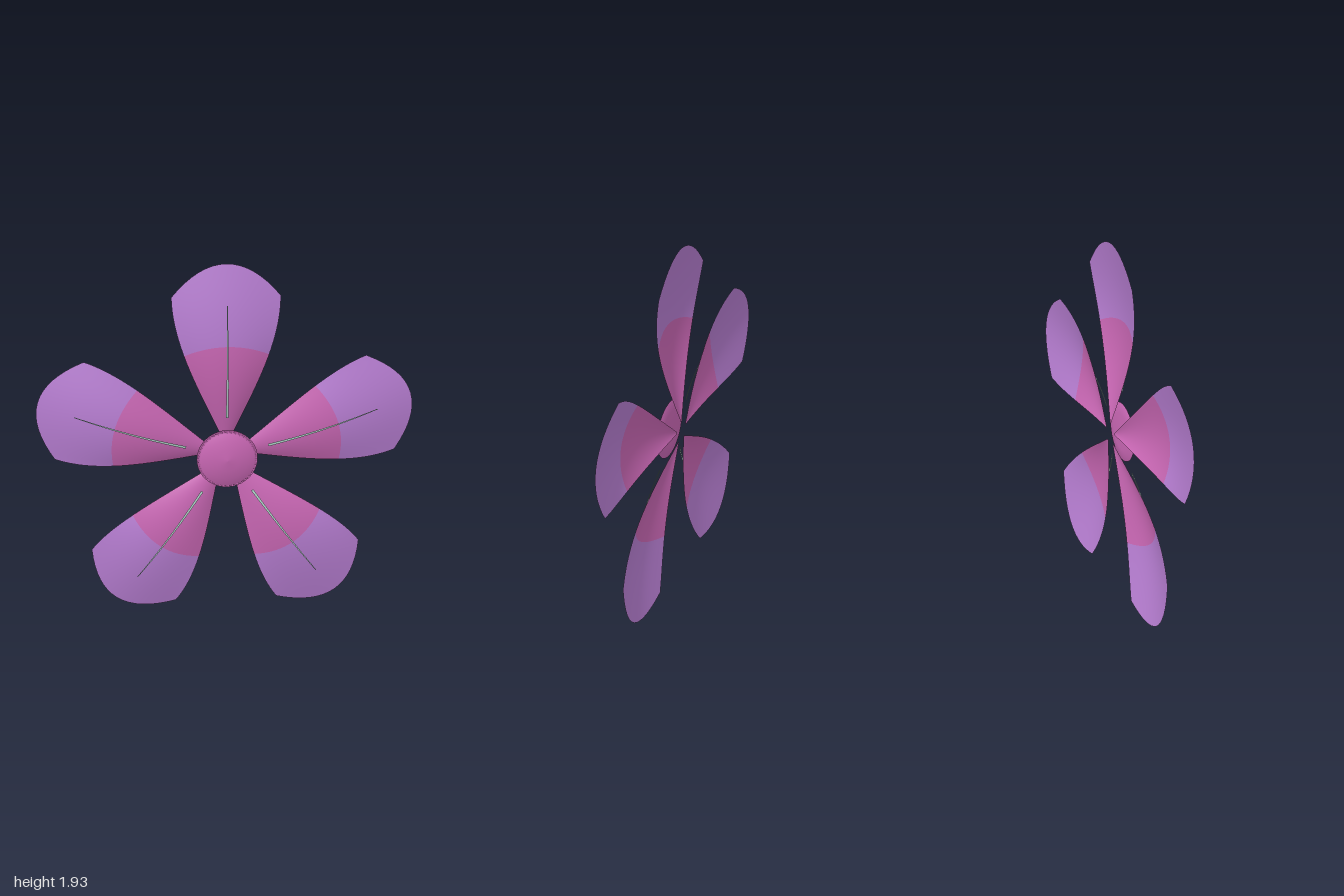
import * as THREE from 'three';

const CENTER_Y = 0.895;
const PETALS = 5;

const mat = (name, color) => {
  const m = new THREE.MeshStandardMaterial({ color, side: THREE.DoubleSide });
  m.name = name;
  return m;
};

// Grid surface: fn(t, v) gives a point, t runs along 0..1, v across -1..1
function sheet(rows, cols, fn) {
  const pos = [], index = [];
  for (let i = 0; i <= rows; i++)
    for (let j = 0; j <= cols; j++) pos.push(...fn(i / rows, (j / cols) * 2 - 1));
  for (let i = 0; i < rows; i++)
    for (let j = 0; j < cols; j++) {
      const a = i * (cols + 1) + j, b = a + 1, c = a + cols + 1, d = c + 1;
      index.push(a, b, d, a, d, c);
    }
  const g = new THREE.BufferGeometry();
  g.setAttribute('position', new THREE.Float32BufferAttribute(pos, 3));
  g.setIndex(index);
  g.computeVertexNormals();
  return g;
}

// Petal: widening, bowed forward along its length and arched across, round tip
const petalPoint = (t, v) => [
  v * (0.006 + 0.276 * Math.sin((Math.PI * t) / 2)),
  0.06 + 0.98 * t - 0.17 * t * t * v * v,
  -0.05 + 0.07 * Math.sin(Math.PI * t) * (1 - 0.55 * v * v),
];

// Vein: thin tapering ribbon floating just above the petal
const veinPoint = (s, v) => {
  const r = 0.23 + 0.61 * s;
  const t = (r - 0.06) / 0.98;
  return [v * (0.007 - 0.005 * s), r, -0.02 + 0.07 * Math.sin(Math.PI * t)];
};

export function createModel() {
  const pink = mat('pink', 0xcb68b6);
  const purple = mat('purple', 0xb97fd4);
  const pale = mat('paleGreen', 0xb0d0c8);

  const flower = new THREE.Group();
  flower.name = 'flower';

  // Petals are pink near the heart and purple outside
  const rows = 28, cols = 16, pinkRows = 16;
  const petalGeo = sheet(rows, cols, petalPoint);
  const perRow = cols * 6;
  petalGeo.addGroup(0, pinkRows * perRow, 0);
  petalGeo.addGroup(pinkRows * perRow, (rows - pinkRows) * perRow, 1);
  const veinGeo = sheet(16, 1, veinPoint);

  for (let i = 0; i < PETALS; i++) {
    const group = new THREE.Group();
    group.name = `petal${i + 1}`;
    const blade = new THREE.Mesh(petalGeo, [pink, purple]);
    blade.name = 'petalBlade';
    const vein = new THREE.Mesh(veinGeo, pale);
    vein.name = 'petalVein';
    group.add(blade, vein);
    group.rotation.z = (i * Math.PI * 2) / PETALS;
    flower.add(group);
  }

  // Shallow domed heart
  const profile = [[0, 0.008], [0.1, 0.01], [0.163, 0.017], [0.145, 0.026], [0.11, 0.037], [0.06, 0.048], [0, 0.053]]
    .map(([x, y]) => new THREE.Vector2(x, y));
  const heart = new THREE.Mesh(new THREE.LatheGeometry(profile, 40), pink);
  heart.name = 'heart';
  heart.rotation.x = Math.PI / 2;
  flower.add(heart);

  flower.position.y = CENTER_Y;
  const model = new THREE.Group();
  model.name = 'flowerModel';
  model.add(flower);
  return model;
}
